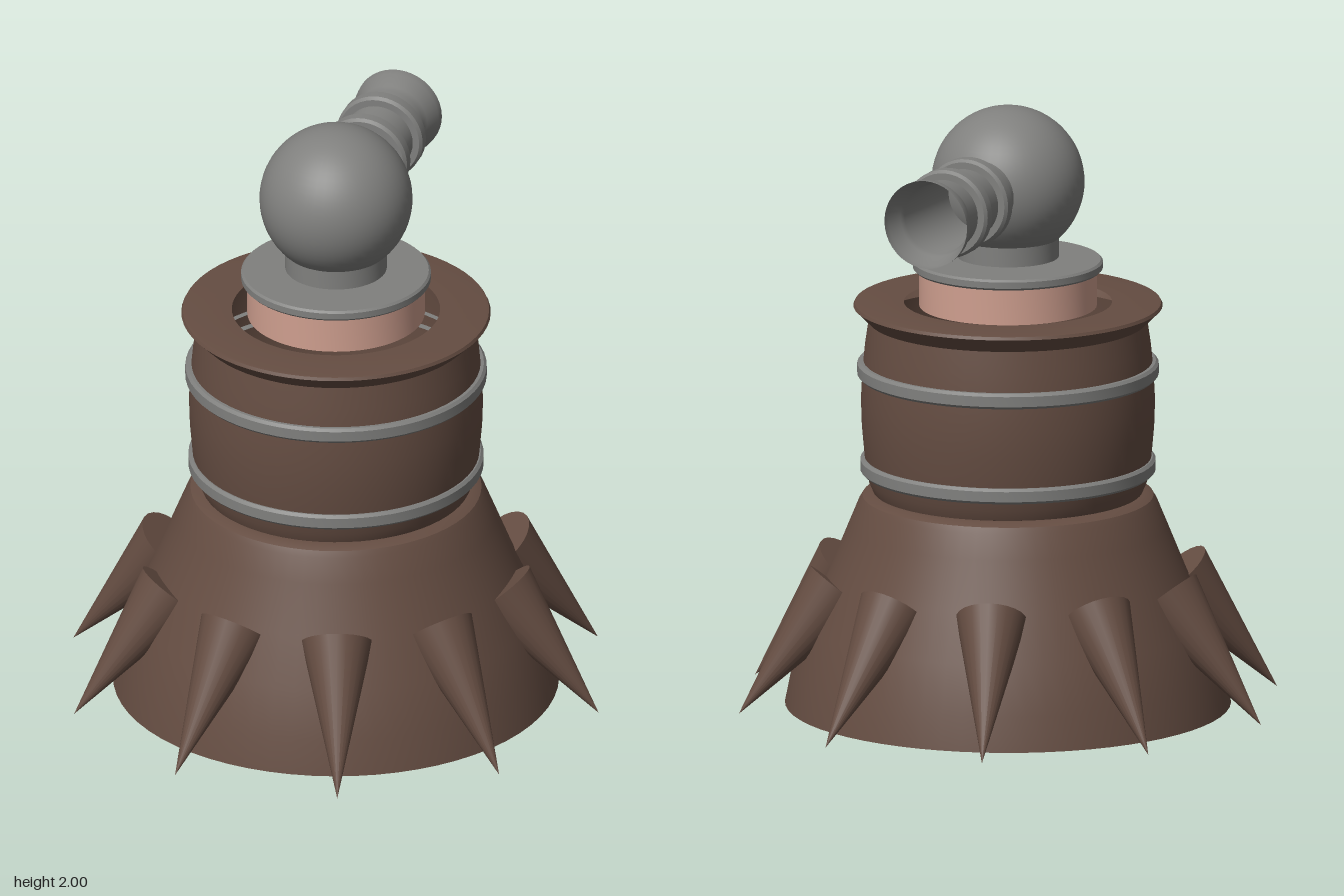
import * as THREE from 'three';
import { toCreasedNormals } from 'three/addons/utils/BufferGeometryUtils.js';

export function createModel() {
  const model = new THREE.Group();
  model.name = 'spikedTurret';

  const material = (name, color) => {
    const m = new THREE.MeshStandardMaterial({ color, side: THREE.DoubleSide });
    m.name = name;
    return m;
  };
  const brown = material('brown', 0x654d42);
  const grey = material('grey', 0x80807e);
  const pink = material('pink', 0xcf9f8f);

  const add = (name, geometry, mat, parent = model) => {
    const mesh = new THREE.Mesh(geometry, mat);
    mesh.name = name;
    parent.add(mesh);
    return mesh;
  };
  // Turned part from [radius, height] pairs, listed bottom to top on the outside
  const turned = (points, segments = 64) => toCreasedNormals(
    new THREE.LatheGeometry(points.map(([r, y]) => new THREE.Vector2(r, y)), segments), 0.45);

  // Hollow flared skirt, open at the bottom
  add('skirt', turned([[0.728, 0.005], [0.705, 0.12], [0.655, 0.28], [0.585, 0.44],
    [0.52, 0.6], [0.487, 0.68], [0.475, 0.7], [0.45, 0.712], [0.42, 0.712]]), brown);

  // Bulging drum with a flared rim and an open top
  add('drum', turned([[0.42, 0.71], [0.44, 0.715], [0.455, 0.75], [0.468, 0.83], [0.477, 0.93],
    [0.48, 1.02], [0.475, 1.12], [0.466, 1.21], [0.455, 1.285]]), brown);
  add('rim', turned([[0.45, 1.28], [0.505, 1.335], [0.5, 1.345], [0.49, 1.347], [0.34, 1.347]]), brown);

  // Bands round the drum
  const band = (name, y, r) => add(name, turned([[r - 0.04, y - 0.026], [r - 0.009, y - 0.026],
    [r, y - 0.017], [r, y + 0.017], [r - 0.009, y + 0.026], [r - 0.04, y + 0.026]]), grey);
  band('lowerBand', 0.804, 0.482);
  band('upperBand', 1.125, 0.492);

  // Neck and its collar
  add('neck', turned([[0.29, 1.335], [0.29, 1.46]]), pink);
  add('collar', turned([[0, 1.455], [0.303, 1.455], [0.31, 1.462], [0.31, 1.483],
    [0.303, 1.49], [0, 1.49]]), grey);

  // Ball head on a short stem
  const ball = add('ballHead', new THREE.SphereGeometry(0.25, 48, 32), grey);
  ball.position.y = 1.75;
  add('ballStem', turned([[0, 1.5], [0.166, 1.5], [0.166, 1.57]]), grey);

  // Barrel pointing backwards with two rings and an open muzzle
  const barrel = new THREE.Group();
  barrel.name = 'barrel';
  barrel.position.y = 1.75;
  barrel.rotation.x = -Math.PI / 2;
  model.add(barrel);
  add('barrelTube', turned([[0.116, 0.2], [0.116, 0.58], [0.122, 0.6], [0.145, 0.645], [0.147, 0.675]], 40),
    grey, barrel);
  for (const y of [0.32, 0.487]) {
    add('barrelRing', turned([[0.116, y - 0.028], [0.138, y - 0.028], [0.147, y - 0.018],
      [0.147, y + 0.018], [0.138, y + 0.028], [0.116, y + 0.028]], 40), grey, barrel);
  }

  // Ten spikes round the skirt, slanting out and down to the ground
  const tip = new THREE.Vector2(0.9, 0.01);
  const length = 0.525, lean = 0.688;
  const cone = new THREE.ConeGeometry(0.116, length, 24);
  cone.rotateZ(lean - Math.PI);
  // Turn the cone so its point leads outwards along +x
  cone.translate(tip.x - Math.sin(lean) * length / 2, tip.y + Math.cos(lean) * length / 2, 0);
  for (let i = 0; i < 10; i++) {
    add('spike', cone, brown).rotation.y = i * Math.PI / 5;
  }
  return model;
}
